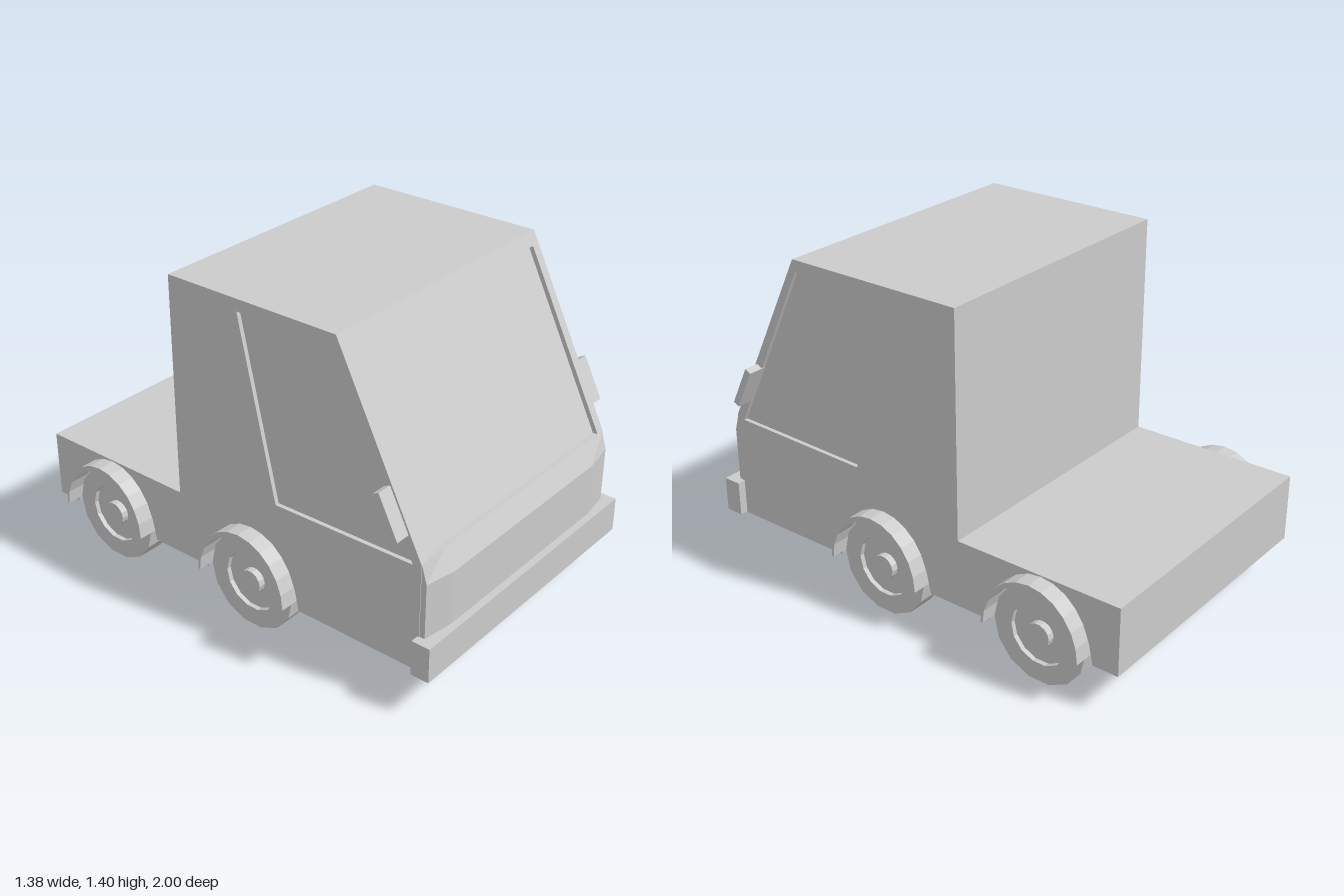
import * as THREE from 'three';

const material = new THREE.MeshStandardMaterial({ color: 0xcccccc, flatShading: true });
const WHEEL_Z = [0.12, -0.65];
const WHEEL_Y = 0.21;
const FLOOR = 0.175;
const HALF_WIDTH = 0.615;

// z of the sloping front at height y
const slopeZ = (y) => 0.97 - 0.43 * (y - 0.555) / 0.855;

function mesh(name, geometry) {
  const m = new THREE.Mesh(geometry, material);
  m.name = name;
  return m;
}

// Extrude a side-view shape (z, y) across the width from x0 to x1
function acrossX(shape, x0, x1) {
  const g = new THREE.ExtrudeGeometry(shape, { depth: x1 - x0, bevelEnabled: false });
  g.rotateY(-Math.PI / 2);
  g.translate(x1, 0, 0);
  return g;
}

function points(list) {
  return list.map(([z, y]) => new THREE.Vector2(z, y));
}

// Side outline of the cab and flat bed with its wheel arches
function bodyShape(recessWindscreen) {
  const outline = [[0.927, FLOOR], [0.927, 0.64]];
  if (recessWindscreen) {
    const depth = 0.022;
    outline.push([slopeZ(0.64) - depth, 0.64], [slopeZ(1.36) - depth, 1.36], [slopeZ(1.36), 1.36]);
  }
  outline.push([0.54, 1.41], [-0.26, 1.41], [-0.26, 0.465], [-1, 0.465], [-1, FLOOR]);
  for (const c of [...WHEEL_Z].reverse()) {
    outline.push([c - 0.238, FLOOR]);
    for (let i = 0; i <= 10; i++) {
      const a = Math.PI * (0.93 - 0.86 * i / 10);
      outline.push([c + 0.226 * Math.cos(a), WHEEL_Y + 0.23 * Math.sin(a)]);
    }
    outline.push([c + 0.238, FLOOR]);
  }
  return new THREE.Shape(points(outline));
}

// Nose: a box whose corners are chamfered and whose upper row follows the slope
function noseGeometry() {
  const g = new THREE.BoxGeometry(3, 2, 1, 3, 2, 1);
  const p = g.attributes.position;
  for (let i = 0; i < p.count; i++) {
    const outer = Math.abs(p.getX(i)) > 1;
    const row = Math.round(p.getY(i)) + 1;
    const x = Math.sign(p.getX(i)) * (outer ? 0.612 : 0.475);
    const y = [FLOOR, outer ? 0.563 : 0.555, 0.64][row];
    let z = 0.915;
    if (p.getZ(i) > 0) z = row === 2 ? 0.927 : outer ? 0.95 : 0.97;
    p.setXYZ(i, x, y, z);
  }
  g.computeVertexNormals();
  return g;
}

// Curved arch strip above a wheel
function fenderShape(c) {
  const outer = [], inner = [];
  for (let i = 0; i <= 12; i++) {
    const a = Math.PI * i / 12;
    outer.push([c + 0.222 * Math.cos(a), WHEEL_Y + 0.25 * Math.sin(a)]);
    inner.unshift([c + 0.212 * Math.cos(a), WHEEL_Y + 0.226 * Math.sin(a)]);
  }
  return new THREE.Shape(points([...outer, ...inner]));
}

// Tyre, sunken rim and hub in one turned profile
function wheelGeometry() {
  const profile = [[0, 0], [0.21, 0], [0.21, 0.12], [0.13, 0.12], [0.13, 0.1], [0.052, 0.1], [0.052, 0.13], [0, 0.13]];
  return new THREE.LatheGeometry(points(profile), 14);
}

export function createModel() {
  const model = new THREE.Group();
  model.name = 'flatbedTruck';

  // Core with the sunken windscreen, nose and bumper
  model.add(mesh('bodyCore', acrossX(bodyShape(true), -0.575, 0.575)));
  model.add(mesh('nose', noseGeometry()));
  const bumper = mesh('frontBumper', new THREE.BoxGeometry(1.3, 0.15, 0.08));
  bumper.position.set(0, 0.253, 0.96);
  model.add(bumper);

  const sideWindow = [[0.89, 0.625], [0.53, 1.36], [0.08, 1.36], [0.25, 0.612]];

  for (const side of [1, -1]) {
    const label = side > 0 ? 'left' : 'right';
    const span = (shape, a, b) => acrossX(shape, Math.min(side * a, side * b), Math.max(side * a, side * b));

    // Side wall: window pane layer, then the outer skin with a window opening
    model.add(mesh(label + 'SidePane', span(bodyShape(false), 0.575, 0.597)));
    const skin = bodyShape(false);
    skin.holes.push(new THREE.Path(points(sideWindow)));
    model.add(mesh(label + 'SidePanel', span(skin, 0.597, HALF_WIDTH)));

    // Mirror plate parallel to the windscreen
    const mirror = mesh(label + 'Mirror', new THREE.BoxGeometry(0.085, 0.19, 0.03));
    mirror.position.set(side * 0.6375, 0.817, 0.812);
    mirror.rotation.x = -0.466;
    model.add(mirror);

    // Wheels and fenders
    WHEEL_Z.forEach((z, i) => {
      const axle = i === 0 ? 'Front' : 'Rear';
      const wheel = mesh(label + axle + 'Wheel', wheelGeometry());
      wheel.rotation.z = -side * Math.PI / 2;
      wheel.position.set(side * 0.5, WHEEL_Y, z);
      model.add(wheel);
      model.add(mesh(label + axle + 'Fender', span(fenderShape(z), 0.605, 0.69)));
    });
  }
  return model;
}
